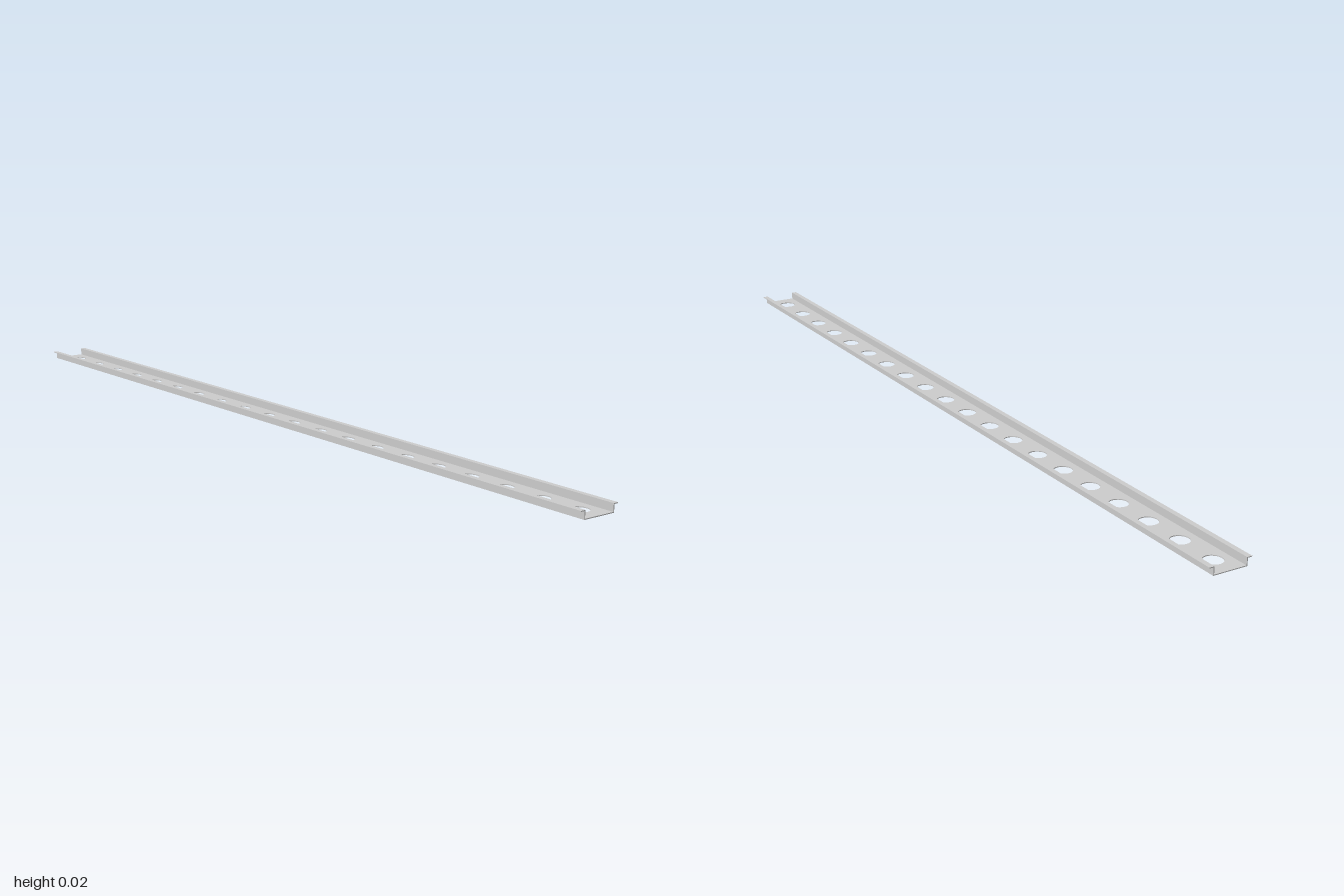
import * as THREE from 'three';

const LENGTH = 2, HEIGHT = 0.019, THICK = 0.002;
const WEB = 0.04;      // half width of the channel
const FLANGE = 0.05;   // half width over the lips
const HOLES = 20, HOLE_R = 0.021;

function polygon(points) {
  return new THREE.Shape(points.map(([x, y]) => new THREE.Vector2(x, y)));
}

export function createModel() {
  const rail = new THREE.Group();
  rail.name = 'mountingRail';
  const material = new THREE.MeshStandardMaterial({ color: 0xcccccc });

  const add = (name, geometry) => {
    const mesh = new THREE.Mesh(geometry, material);
    mesh.name = name;
    rail.add(mesh);
  };

  // Perforated web: flat plate with a row of round holes
  const inner = WEB - THICK, half = LENGTH / 2;
  const plate = polygon([[-half, -inner], [half, -inner], [half, inner], [-half, inner]]);
  const pitch = LENGTH / HOLES;
  for (let i = 0; i < HOLES; i++) {
    const hole = new THREE.Path();
    hole.absarc(-half + pitch * (i + 0.5), 0, HOLE_R, 0, Math.PI * 2, true);
    plate.holes.push(hole);
  }
  const web = new THREE.ExtrudeGeometry(plate, { depth: THICK, bevelEnabled: false, curveSegments: 16 });
  web.rotateX(-Math.PI / 2);
  add('perforatedWeb', web);

  // Side walls with outward lips, one Z-shaped profile per side
  for (const side of [1, -1]) {
    const profile = polygon([
      [inner, 0], [WEB, 0], [WEB, HEIGHT - THICK], [FLANGE, HEIGHT - THICK],
      [FLANGE, HEIGHT], [inner, HEIGHT],
    ].map(([z, y]) => [-z * side, y]));
    const wall = new THREE.ExtrudeGeometry(profile, { depth: LENGTH, bevelEnabled: false });
    wall.translate(0, 0, -half);
    wall.rotateY(Math.PI / 2);
    add(side > 0 ? 'frontFlange' : 'backFlange', wall);
  }

  return rail;
}
